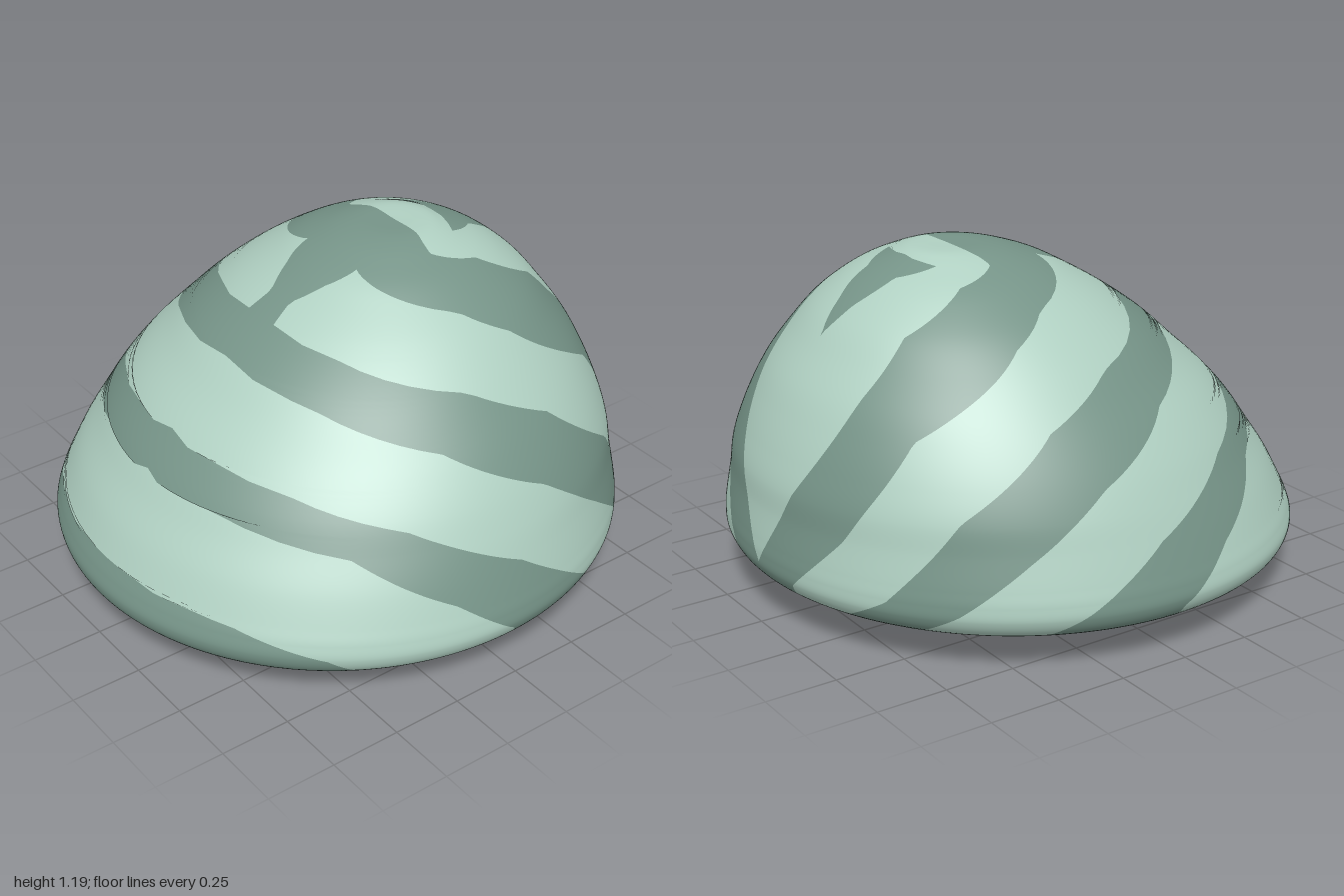
import * as THREE from 'three';

// Shell rings from the bottom opening to the crown: centre x, height y, radius
const RINGS = [
  [0.17, 0, 0.3], [0, 0.04, 0.62], [-0.03, 0.07, 0.77], [-0.03, 0.1, 0.88], [-0.01, 0.15, 0.97],
  [0, 0.2, 0.995], [0.01, 0.25, 0.99], [0.02, 0.3, 0.975], [0.04, 0.4, 0.94], [0.07, 0.5, 0.9],
  [0.09, 0.6, 0.85], [0.115, 0.7, 0.785], [0.145, 0.8, 0.705], [0.165, 0.9, 0.615], [0.195, 1, 0.505],
  [0.215, 1.08, 0.39], [0.22, 1.12, 0.32], [0.225, 1.15, 0.25], [0.235, 1.175, 0.18],
  [0.25, 1.188, 0.12], [0.25, 1.19, 0],
];

// Stripe edges from the low end to the crown: [height, angle from +x in degrees]
const EDGES = [
  [[0.04, 125], [0.1, 117], [0.2, 128], [0.28, 148], [0.3, 180]],
  [[0.05, 86], [0.18, 90], [0.33, 104], [0.5, 127], [0.55, 150], [0.57, 180]],
  [[0.05, 45], [0.12, 60], [0.22, 71], [0.4, 89], [0.57, 116], [0.66, 145], [0.69, 180]],
  [[0.05, 28], [0.1, 34], [0.22, 47], [0.39, 62], [0.58, 81], [0.75, 108], [0.86, 145], [0.9, 180]],
  [[0.05, 15], [0.12, 20], [0.24, 33], [0.51, 50], [0.75, 74], [0.88, 99], [0.97, 142], [1, 172],
    [1.05, 173], [1.1, 163], [1.14, 150]],
  [[0.05, 8], [0.2, 11], [0.4, 24], [0.73, 41], [0.97, 75], [1.05, 94], [1.1, 125], [1.14, 150]],
  [[0.22, 0], [0.5, 10.5], [0.83, 26], [1, 36], [1.12, 60], [1.16, 90]],
  [[0.96, 0], [1.05, 6], [1.13, 17], [1.165, 44], [1.175, 0]],
];

const ROWS = 120, STEPS = 18;
const LIGHT_FLOOR = 0.045; // the underside is plain below this height

function angleAt(edge, y) {
  if (y <= edge[0][0]) return edge[0][1];
  for (let i = 1; i < edge.length; i++) {
    const [y0, a0] = edge[i - 1], [y1, a1] = edge[i];
    if (y <= y1) return a0 + (a1 - a0) * (y - y0) / (y1 - y0);
  }
  return edge[edge.length - 1][1];
}

function shellRows() {
  const curve = new THREE.CatmullRomCurve3(RINGS.map(p => new THREE.Vector3(...p)), false, 'centripetal');
  const rows = [];
  for (let i = 0; i <= ROWS; i++) {
    const p = curve.getPoint(i / ROWS), d = curve.getTangent(i / ROWS);
    // Angle limits of every stripe on this ring, never rising
    const limits = [180];
    for (const e of EDGES) limits.push(Math.min(limits[limits.length - 1], angleAt(e, p.y)));
    limits.push(0);
    rows.push({ p, d, limits });
  }
  return rows;
}

// Patch of one stripe on one side, with exact normals of the skewed rings
function addStripe(out, rows, stripe, side, keepRow) {
  const base = out.position.length / 3, n = STEPS + 1;
  for (const { p, d, limits } of rows) {
    for (let j = 0; j <= STEPS; j++) {
      const a = THREE.MathUtils.degToRad(THREE.MathUtils.lerp(limits[stripe], limits[stripe + 1], j / STEPS));
      const c = Math.cos(a), s = Math.sin(a);
      out.position.push(p.x + p.z * c, p.y, side * p.z * s);
      const nrm = new THREE.Vector3(d.y * c, -(d.z + d.x * c), side * d.y * s).normalize();
      out.normal.push(nrm.x, nrm.y, nrm.z);
    }
  }
  const width = r => r.limits[stripe] - r.limits[stripe + 1];
  for (let i = 0; i < ROWS; i++) {
    if (!keepRow(rows[i]) || width(rows[i]) + width(rows[i + 1]) < 1e-4) continue;
    for (let j = 0; j < STEPS; j++) {
      const a = base + i * n + j, b = a + 1, c = a + n + 1, e = a + n;
      if (side > 0) out.index.push(a, b, c, a, c, e);
      else out.index.push(a, c, b, a, e, c);
    }
  }
}

function toMesh(data, material, name) {
  const g = new THREE.BufferGeometry();
  g.setAttribute('position', new THREE.Float32BufferAttribute(data.position, 3));
  g.setAttribute('normal', new THREE.Float32BufferAttribute(data.normal, 3));
  g.setIndex(data.index);
  const mesh = new THREE.Mesh(g, material);
  mesh.name = name;
  return mesh;
}

export function createModel() {
  const lightMat = new THREE.MeshStandardMaterial({ color: 0xb0d0c2, side: THREE.DoubleSide });
  lightMat.name = 'pale green';
  const darkMat = new THREE.MeshStandardMaterial({ color: 0x769488, side: THREE.DoubleSide });
  darkMat.name = 'grey green';

  const light = { position: [], normal: [], index: [] };
  const dark = { position: [], normal: [], index: [] };
  const rows = shellRows();
  const isUpper = r => r.p.y >= LIGHT_FLOOR;

  // Stripes alternate, starting dark at the low end; both sides mirror
  for (let s = 0; s <= EDGES.length; s++) {
    for (const side of [1, -1]) {
      if (s % 2 === 0) addStripe(dark, rows, s, side, () => true);
      else {
        addStripe(light, rows, s, side, isUpper);
        addStripe(dark, rows, s, side, r => !isUpper(r));
      }
    }
  }

  const model = new THREE.Group();
  model.name = 'stripedShell';
  model.add(toMesh(dark, darkMat, 'darkStripesAndUnderside'));
  model.add(toMesh(light, lightMat, 'lightStripes'));
  return model;
}
